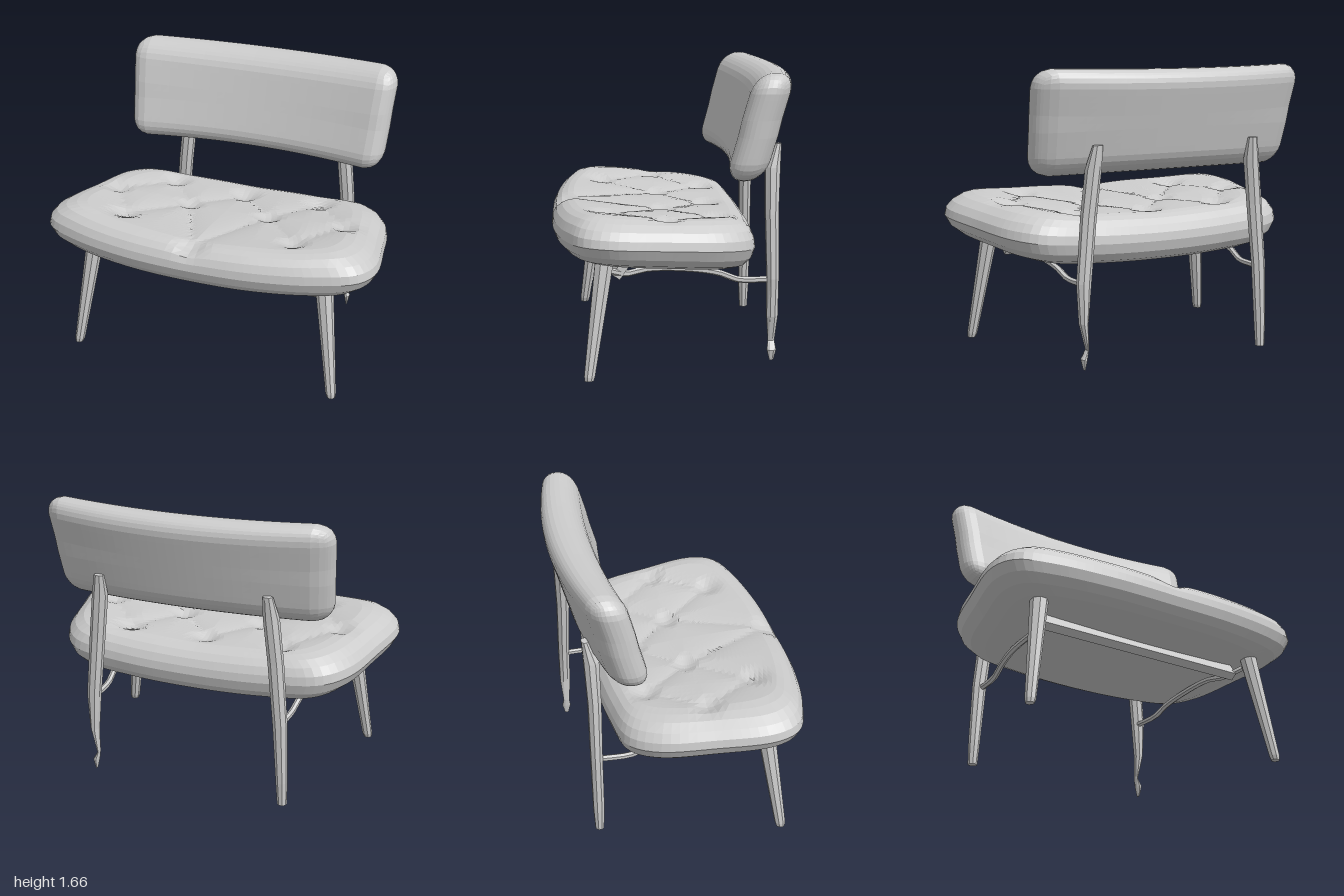
import * as THREE from 'three';
import { mergeVertices } from 'three/addons/utils/BufferGeometryUtils.js';

const mat = new THREE.MeshStandardMaterial({ color: 0xcccccc, flatShading: true });

function mesh(name, geometry) {
  const m = new THREE.Mesh(geometry, mat);
  m.name = name;
  return m;
}

// Skin a stack of equal-length closed rings, listed from bottom to top
function loft(rings) {
  const n = rings[0].length, pos = [], index = [];
  rings.forEach(r => r.forEach(p => pos.push(p.x, p.y, p.z)));
  for (let j = 0; j < rings.length - 1; j++) {
    for (let i = 0; i < n; i++) {
      const k = (i + 1) % n, a = j * n + i, b = j * n + k, c = a + n, d = b + n;
      index.push(a, c, b, b, c, d);
    }
  }
  const g = new THREE.BufferGeometry();
  g.setAttribute('position', new THREE.Float32BufferAttribute(pos, 3));
  g.setIndex(index);
  g.computeVertexNormals();
  return g;
}

// Tapered leg through stations [x, y, z, radiusX, radiusZ], closed at both ends
function legGeometry(stations) {
  const first = stations[0], last = stations[stations.length - 1];
  const all = [[...first.slice(0, 3), 0, 0], ...stations, [...last.slice(0, 3), 0, 0]];
  return loft(all.map(([x, y, z, rx, rz]) => Array.from({ length: 8 }, (_, i) => {
    const a = (i + 0.5) / 8 * Math.PI * 2;
    return new THREE.Vector3(x + rx * Math.cos(a), y, z + rz * Math.sin(a));
  })));
}

// Buttons and the diamond pleats that join them (right half is mirrored)
const buttons = [[0, -0.21], [0.47, -0.23], [0.25, 0.05], [0.72, 0.06], [0.52, 0.37], [0, 0.6]];
const pleats = [[0, 2], [1, 2], [1, 3], [2, 4], [3, 4], [2, 5]];

function tuftDepth(x, z) {
  const ax = Math.abs(x);
  let depth = 0;
  for (const [bx, bz] of buttons) {
    depth = Math.max(depth, 0.045 * Math.exp(-((ax - bx) ** 2 + (z - bz) ** 2) / 0.007));
  }
  for (const [i, j] of pleats) {
    const [x0, z0] = buttons[i], [x1, z1] = buttons[j];
    const dx = x1 - x0, dz = z1 - z0;
    const t = THREE.MathUtils.clamp(((ax - x0) * dx + (z - z0) * dz) / (dx * dx + dz * dz), 0, 1);
    const d = Math.hypot(ax - x0 - t * dx, z - z0 - t * dz);
    depth = Math.max(depth, 0.024 * Math.exp(-d / 0.08));
  }
  return depth;
}

// Plump seat cushion: plan outline scaled through a bulging edge profile
function seatGeometry() {
  const half = [[0, -0.465], [0.45, -0.45], [0.76, -0.4], [0.88, -0.26], [0.955, 0.05],
    [1, 0.38], [0.94, 0.52], [0.75, 0.605], [0.4, 0.67], [0, 0.685]];
  const mirrored = half.slice(1, -1).reverse().map(([x, z]) => [-x, z]);
  const outline = new THREE.CatmullRomCurve3(
    [...half, ...mirrored].map(([x, z]) => new THREE.Vector3(x, 0, z)), true
  ).getSpacedPoints(112).slice(0, 112);
  const profile = [[0, -1], [0.55, -1], [0.82, -0.97], [0.91, -0.76], [0.97, -0.4], [1, 0.05],
    [0.99, 0.35], [0.955, 0.62], [0.9, 0.83], [0.84, 0.94]];
  for (let i = 0; i <= 22; i++) profile.push([0.78 * (1 - i / 22), 1]);
  return loft(profile.map(([s, h]) => outline.map(p => {
    const x = p.x * s, z = 0.1 + (p.z - 0.1) * s, rise = 0.045 * x * x;
    let y = 0.698 + 0.061 * z + rise + h * (h > 0 ? 0.2 - rise : 0.118 - 0.02 * z);
    if (h > 0) y -= h * (0.045 * Math.max(0, 1 - (x / 0.8) ** 2) + tuftDepth(x, z));
    return new THREE.Vector3(x, y, z);
  })));
}

// Rounded slab, flared at the top, bowed around the sitter and leaning back
function backGeometry() {
  const w = 0.825, h = 0.285, d = 0.125, r = 0.115;
  let g = new THREE.BoxGeometry(2 * w, 2 * h, 2 * d, 32, 16, 8);
  g.deleteAttribute('uv');
  g.deleteAttribute('normal');
  g = mergeVertices(g);
  const pos = g.attributes.position, p = new THREE.Vector3(), core = new THREE.Vector3();
  const limit = new THREE.Vector3(w - r, h - r, d - r);
  for (let i = 0; i < pos.count; i++) {
    p.fromBufferAttribute(pos, i);
    core.copy(p).clamp(limit.clone().negate(), limit);
    p.sub(core).setLength(r).add(core);
    const bow = 0.072 * Math.min(1.1, (p.x / 0.75) ** 2) * (1 - 0.25 * p.z / d);
    pos.setXYZ(i,
      p.x * (1 + 0.09 * p.y),
      1.367 + p.y + 0.012 * (p.x / w) ** 2 * Math.sign(p.y),
      -0.507 + p.z - 0.28 * p.y + bow);
  }
  g.computeVertexNormals();
  return g;
}

export function createModel() {
  const group = new THREE.Group();
  group.add(mesh('seatCushion', seatGeometry()), mesh('backrest', backGeometry()));

  // Splayed front legs and curved side rails
  for (const [side, s] of [['left', 1], ['right', -1]]) {
    group.add(mesh(side + 'FrontLeg', legGeometry([
      [0.81 * s, 0.005, 0.49, 0.024, 0.026],
      [0.806 * s, 0.03, 0.487, 0.03, 0.032],
      [0.715 * s, 0.68, 0.395, 0.052, 0.055]
    ])));
    const path = new THREE.CatmullRomCurve3([[0.69, 0.59, 0.38], [0.63, 0.555, 0.28], [0.61, 0.575, 0.15],
      [0.6, 0.565, -0.1], [0.585, 0.535, -0.25], [0.575, 0.495, -0.35], [0.565, 0.49, -0.53]]
      .map(([x, y, z]) => new THREE.Vector3(x * s, y, z)));
    group.add(mesh(side + 'SideRail', new THREE.TubeGeometry(path, 20, 0.018, 6)));
  }

  // Rear posts rise to the backrest; the left foot is worn to a sliver
  const upper = s => [[0.572 * s, 0.5, -0.545, 0.043, 0.036], [0.54 * s, 0.86, -0.54, 0.046, 0.04],
    [0.512 * s, 1.12, -0.545, 0.046, 0.045], [0.5 * s, 1.25, -0.575, 0.03, 0.02]];
  group.add(mesh('rightRearPost', legGeometry([
    [-0.592, 0.01, -0.545, 0.028, 0.026], [-0.588, 0.15, -0.545, 0.034, 0.034], ...upper(-1)])));
  group.add(mesh('leftRearPost', legGeometry([
    [0.572, 0.02, -0.545, 0.004, 0.012], [0.573, 0.08, -0.545, 0.018, 0.028],
    [0.555, 0.13, -0.545, 0.005, 0.02], [0.575, 0.28, -0.545, 0.026, 0.034], ...upper(1)])));

  // Front cross rail under the seat, its lower face sloping up to the rear
  const rail = mesh('frontRail', new THREE.BoxGeometry(1.32, 0.12, 0.05));
  rail.position.set(0, 0.59, 0.3);
  rail.rotation.x = -0.6;
  group.add(rail);
  return group;
}
